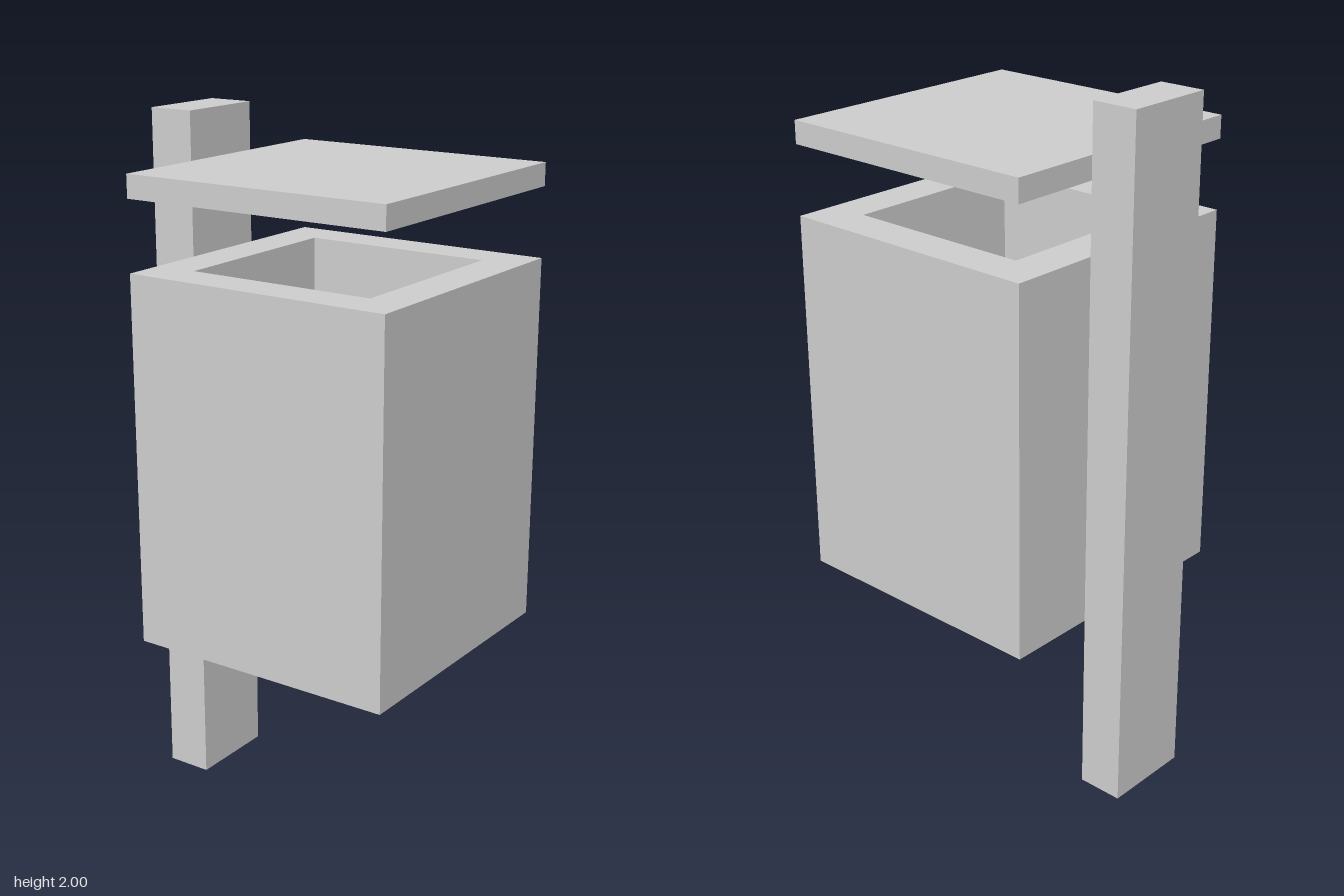
import * as THREE from 'three';

const material = new THREE.MeshStandardMaterial({ color: 0xcccccc, flatShading: true });

// Box given by its lower and upper corners
function box(name, [x0, y0, z0], [x1, y1, z1]) {
  const geometry = new THREE.BoxGeometry(x1 - x0, y1 - y0, z1 - z0);
  geometry.translate((x0 + x1) / 2, (y0 + y1) / 2, (z0 + z1) / 2);
  const mesh = new THREE.Mesh(geometry, material);
  mesh.name = name;
  return mesh;
}

// Square outline centred on the origin
function square(PathType, half) {
  return new PathType([[-1, -1], [1, -1], [1, 1], [-1, 1]]
    .map(([x, y]) => new THREE.Vector2(x * half, y * half)));
}

export function createModel() {
  const model = new THREE.Group();
  model.name = 'postMountedBin';

  const left = -0.333, right = 0.467, half = 0.4;
  const bottom = 0.538, top = 1.602, wall = 0.12;
  const centre = (left + right) / 2;

  // Upright post carrying the bin and its cover
  model.add(box('post', [-0.467, 0, -0.133], [left, 2, 0.133]));

  // Open-topped container: one square tube with thick walls, closed by a floor
  const container = new THREE.Group();
  container.name = 'container';
  const outline = square(THREE.Shape, half);
  outline.holes.push(square(THREE.Path, half - wall));
  const tube = new THREE.ExtrudeGeometry(outline, { depth: top - bottom, bevelEnabled: false });
  tube.rotateX(-Math.PI / 2).translate(centre, bottom, 0);
  const walls = new THREE.Mesh(tube, material);
  walls.name = 'walls';
  const inner = half - wall;
  container.add(walls, box('floor',
    [centre - inner, bottom, -inner], [centre + inner, bottom + wall, inner]));
  model.add(container);

  // Flat rain cover above the opening
  model.add(box('cover', [left, 1.8, -half], [right, 1.865, half]));

  return model;
}
